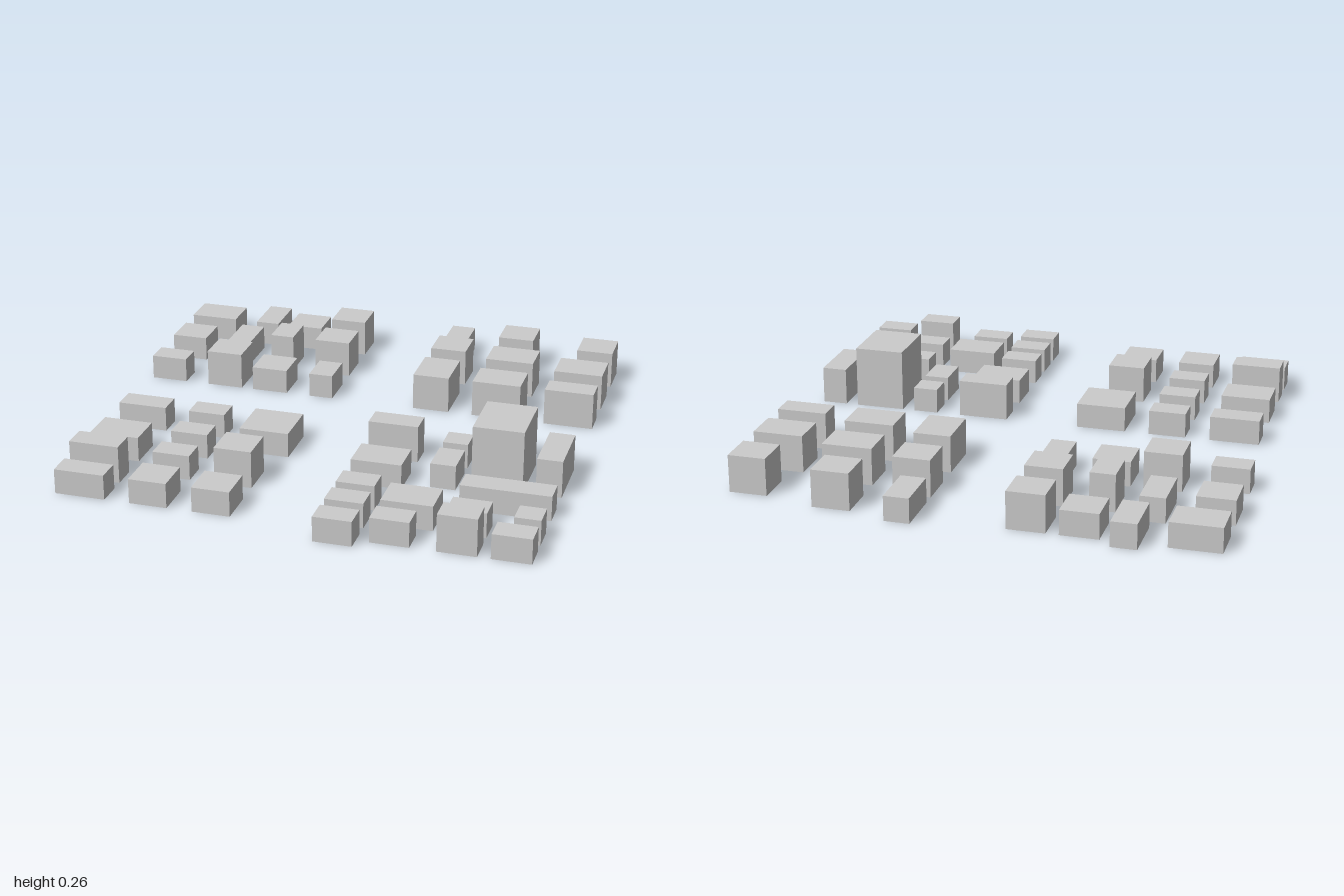
import * as THREE from 'three';

// One grid cell; the town is 38 cells wide (x) and 39 cells deep (z)
const CELL = 2 / 39;
const LOW = 2, MID = 3, TOWER = 5;

// Each building: [column, row, width, depth, height] in cells, from the back right corner (-x, -z)
const blocks = {
  backRightBlock: [
    [0, 1, 4, 3, LOW], [6, 0, 2, 4, LOW], [9, 1, 3, 3, LOW], [13, 1, 3, 3, MID],
    [0, 6, 3, 3, LOW], [5, 5, 2, 4, LOW], [9, 6, 2, 3, MID], [13, 6, 3, 3, MID],
    [0, 12, 3, 2, LOW], [5, 11, 3, 3, MID], [9, 11, 3, 3, LOW], [14, 11, 2, 3, LOW],
  ],
  backLeftBlock: [
    [23, 0, 2, 4, LOW], [28, 1, 3, 3, MID], [35, 2, 3, 3, MID],
    [23, 5, 3, 3, MID], [28, 6, 4, 3, MID], [34, 7, 4, 3, MID],
    [23, 10, 3, 4, MID], [28, 11, 4, 3, MID], [34, 12, 4, 2, MID],
  ],
  frontRightBlock: [
    [1, 22, 4, 2, LOW], [1, 27, 4, 3, LOW], [1, 32, 4, 2, MID], [1, 35, 4, 2, LOW],
    [7, 22, 3, 2, LOW], [7, 26, 3, 2, LOW], [7, 30, 3, 2, LOW], [7, 34, 3, 3, LOW],
    [12, 22, 4, 4, LOW], [12, 29, 3, 3, MID], [12, 34, 3, 3, LOW],
  ],
  frontLeftBlock: [
    [22, 22, 4, 2, MID], [22, 26, 4, 3, LOW], [22, 31, 3, 2, LOW], [22, 34, 3, 2, LOW], [22, 37, 3, 2, LOW],
    [28, 22, 2, 2, LOW], [28, 25, 2, 3, LOW], [26, 32, 4, 3, LOW], [26, 36, 3, 2, LOW],
    [31, 22, 4, 5, TOWER], [36, 22, 2, 5, MID], [31, 29, 7, 2, LOW],
    [31, 33, 3, 2, LOW], [36, 33, 2, 2, LOW], [31, 36, 3, 2, MID], [35, 36, 3, 2, LOW],
  ],
};

const names = { [LOW]: 'lowBuilding', [MID]: 'midBuilding', [TOWER]: 'towerBuilding' };

export function createModel() {
  const town = new THREE.Group();
  town.name = 'townBlocks';
  const material = new THREE.MeshStandardMaterial({ color: 0xcccccc, flatShading: true });

  for (const [blockName, buildings] of Object.entries(blocks)) {
    const block = new THREE.Group();
    block.name = blockName;
    for (const [column, row, w, d, h] of buildings) {
      const building = new THREE.Mesh(new THREE.BoxGeometry(w * CELL, h * CELL, d * CELL), material);
      building.name = names[h];
      building.position.set((column + w / 2 - 19) * CELL, (h / 2) * CELL, (row + d / 2 - 19.5) * CELL);
      block.add(building);
    }
    town.add(block);
  }
  return town;
}
